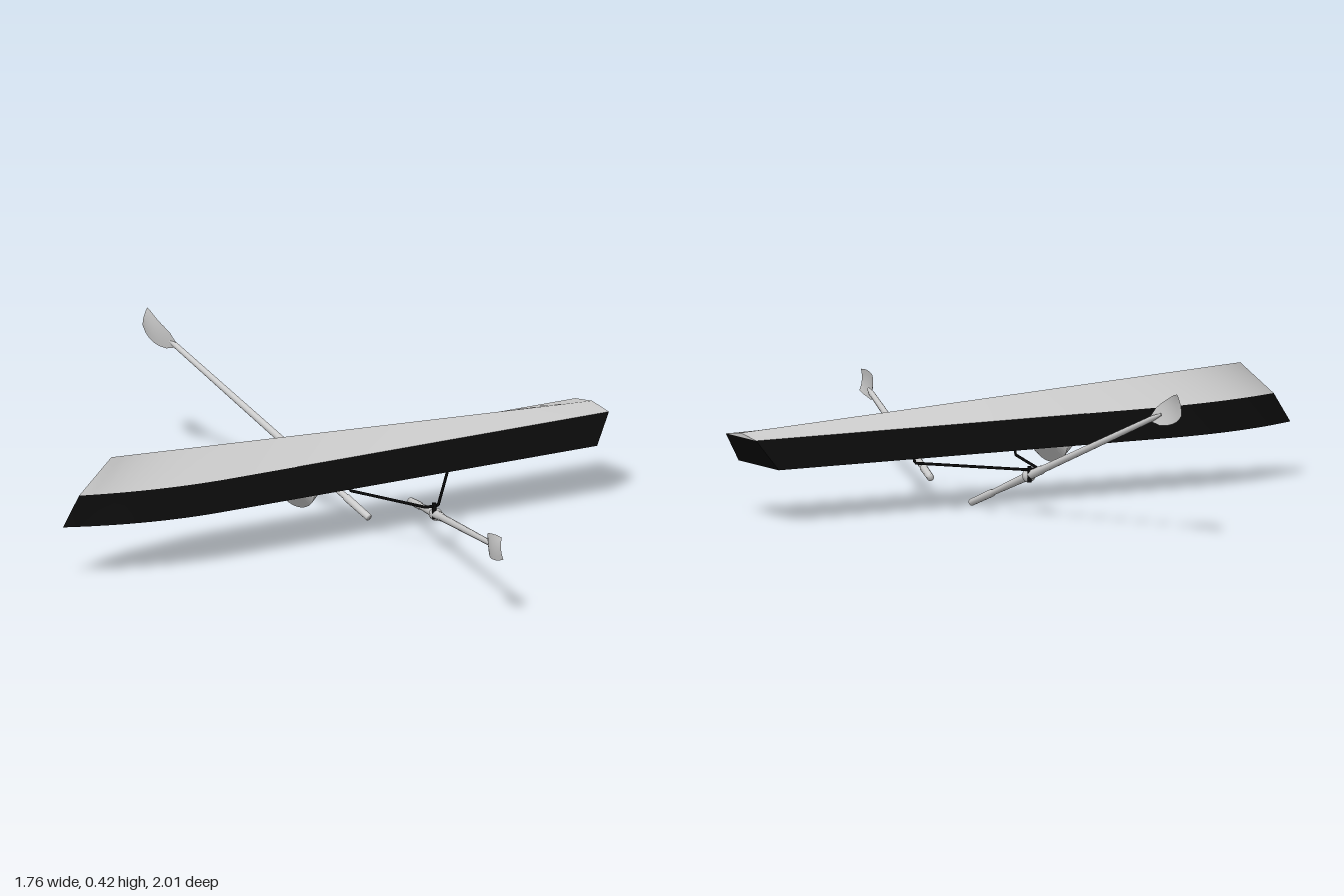
import * as THREE from 'three';

const DECK = 0.156, CZ = -0.008;
const grey = new THREE.MeshStandardMaterial({ color: 0xcccccc, side: THREE.DoubleSide });
const black = new THREE.MeshStandardMaterial({ color: 0x0b0b0b, side: THREE.DoubleSide });
const V = (x, y, z) => new THREE.Vector3(x, y, z);

function add(parent, geometry, material, name) {
  const m = new THREE.Mesh(geometry, material);
  m.name = name;
  parent.add(m);
  return m;
}

// Surface from a rule point(u, v), u and v in 0..1
function surface(nu, nv, point) {
  const pos = [], index = [];
  for (let i = 0; i <= nu; i++) for (let j = 0; j <= nv; j++) pos.push(...point(i / nu, j / nv).toArray());
  for (let i = 0; i < nu; i++) for (let j = 0; j < nv; j++) {
    const a = i * (nv + 1) + j, b = a + nv + 1;
    index.push(a, b, a + 1, b, b + 1, a + 1);
  }
  const g = new THREE.BufferGeometry();
  g.setAttribute('position', new THREE.Float32BufferAttribute(pos, 3));
  g.setIndex(index);
  g.computeVertexNormals();
  return g;
}

// Long edges of the overturned hull: s runs from stern (0) to bow (1)
const taper = s => 1 - Math.pow(Math.max(0, (s - 0.73) / 0.27), 2.1);
const gunwale = (s, side) => V(0.82 - 1.70 * s, DECK, side * 0.111 * taper(s));
const chine = (s, side) => V(0.877 - 1.704 * s, 0.239, side * 0.084 * taper(s));
const keel = s => V(0.877 - 1.597 * s, 0.251 + 0.082 * s, 0);

function createHull() {
  const hull = new THREE.Group();
  hull.name = 'hull';
  hull.position.z = CZ;
  for (const side of [1, -1]) {
    // Swapping the direction on the mirrored side keeps the faces outward
    const dir = v => (side > 0 ? 1 - v : v);
    add(hull, surface(48, 1, (u, v) => gunwale(u, side).lerp(chine(u, side), dir(v))), black, 'sideBand');
    add(hull, surface(48, 1, (u, v) => chine(u, side).lerp(keel(u), dir(v))), grey, 'hullBottom');
  }
  // Transom: sloping band and the low triangle above it
  add(hull, surface(1, 1, (u, v) => gunwale(0, 2 * v - 1).lerp(chine(0, 2 * v - 1), u)), black, 'transom');
  add(hull, surface(1, 2, (u, v) => chine(0, 2 * v - 1).lerp(
    V(0.877, v === 0.5 ? 0.251 : 0.239, (2 * v - 1) * 0.084), u)), grey, 'transomTop');

  // Deck facing the ground, with the cockpit opening
  const outline = [];
  for (let i = 0; i <= 48; i++) outline.push(gunwale(i / 48, 1));
  for (let i = 47; i >= 0; i--) outline.push(gunwale(i / 48, -1));
  const deck = new THREE.Shape(outline.map(p => new THREE.Vector2(p.x, p.z)));
  const x0 = -0.05, x1 = 0.68, hw = 0.062, depth = 0.05;
  deck.holes.push(new THREE.Path([[x0, -hw], [x0, hw], [x1, hw], [x1, -hw]].map(p => new THREE.Vector2(...p))));
  add(hull, new THREE.ShapeGeometry(deck).rotateX(Math.PI / 2), black, 'deck').position.y = DECK;

  // Cockpit walls and floor: a box without its open face
  const well = new THREE.BoxGeometry(x1 - x0, depth, 2 * hw);
  const idx = Array.from(well.index.array);
  idx.splice(18, 6);
  well.setIndex(idx);
  well.clearGroups();
  add(hull, well, black, 'cockpit').position.set((x0 + x1) / 2, DECK + depth / 2, 0);
  add(hull, new THREE.BoxGeometry(0.09, 0.015, 0.1), black, 'seat').position.set(0.3, DECK + 0.02, 0);

  // Splash guard: rounded across the boat, wedge-shaped along it
  const guard = surface(24, 2, (u, v) => {
    const a = Math.PI * u, s = Math.sin(a);
    return V(-0.11 + (2 * v - 1) * 0.056 * s, DECK - (v === 0.5 ? 0.056 * s : 0), -0.098 * Math.cos(a));
  }).toNonIndexed();
  guard.computeVertexNormals();
  add(hull, guard, grey, 'splashGuard');
  return hull;
}

// Bent rod from the deck out to the oarlock and back
function createRigger(side) {
  const rigger = new THREE.Group();
  rigger.name = side > 0 ? 'frontRigger' : 'backRigger';
  rigger.position.z = CZ;
  const y = 0.136;
  const pts = [[0.033, DECK, 0.055], [0.033, y, 0.06], [0.112, y, 0.321], [0.153, y, 0.321],
    [0.355, y, 0.06], [0.358, DECK, 0.055]].map(p => V(p[0], p[1], side * p[2]));
  const path = new THREE.CurvePath();
  for (let i = 0; i < pts.length - 1; i++) path.add(new THREE.LineCurve3(pts[i], pts[i + 1]));
  add(rigger, new THREE.TubeGeometry(path, 120, 0.004, 6), black, 'riggerTube');
  const lock = add(rigger, new THREE.CylinderGeometry(0.006, 0.006, 0.045, 8), black, 'oarlockPin');
  lock.position.set(0.14, 0.122, side * 0.321);
  return rigger;
}

// Oar running from its handle end to the root of its blade
function createOar(name, start, end) {
  const oar = new THREE.Group();
  oar.name = name;
  const length = start.distanceTo(end);
  const along = end.clone().sub(start).normalize();
  const across = V(1, 0, 0).addScaledVector(along, -along.x).normalize();
  const up = V().crossVectors(across, along);
  oar.quaternion.setFromRotationMatrix(new THREE.Matrix4().makeBasis(across, along, up));
  oar.position.copy(start);

  // Grip, shaft and collar in one turned profile
  const profile = [[0, 0], [0.010, 0], [0.011, 0.1], [0.0085, 0.105], [0.012, 0.27], [0.018, 0.272],
    [0.018, 0.285], [0.0125, 0.287], [0.0125, 0.34], [0.0105, 0.345], [0.008, length], [0.004, length + 0.04], [0, length + 0.045]];
  const shaft = new THREE.LatheGeometry(profile.map(p => new THREE.Vector2(...p)), 12);
  add(oar, shaft, grey, 'oarShaft');

  // Spoon blade: curved along its length and slightly cupped
  const widths = [0.009, 0.026, 0.033, 0.036, 0.037, 0.036, 0.031];
  const blade = surface(12, 6, (u, v) => {
    const k = Math.min(5, Math.floor(u * 6)), w = THREE.MathUtils.lerp(widths[k], widths[k + 1], u * 6 - k);
    const t = 2 * v - 1;
    return V(-0.014 * Math.sin(Math.PI * u) + 0.005 * t * t * u, length - 0.005 + 0.143 * u, t * w);
  });
  add(oar, blade, grey, 'oarBlade');
  return oar;
}

export function createModel() {
  const boat = new THREE.Group();
  boat.name = 'overturnedRowingBoat';
  boat.add(createHull(), createRigger(1), createRigger(-1));
  boat.add(createOar('frontOar', V(0.24, 0.073, 0.045), V(-0.045, 0.187, 0.865)));
  boat.add(createOar('backOar', V(0.17, 0.012, -0.06), V(0.06, 0.34, -0.87)));
  return boat;
}
